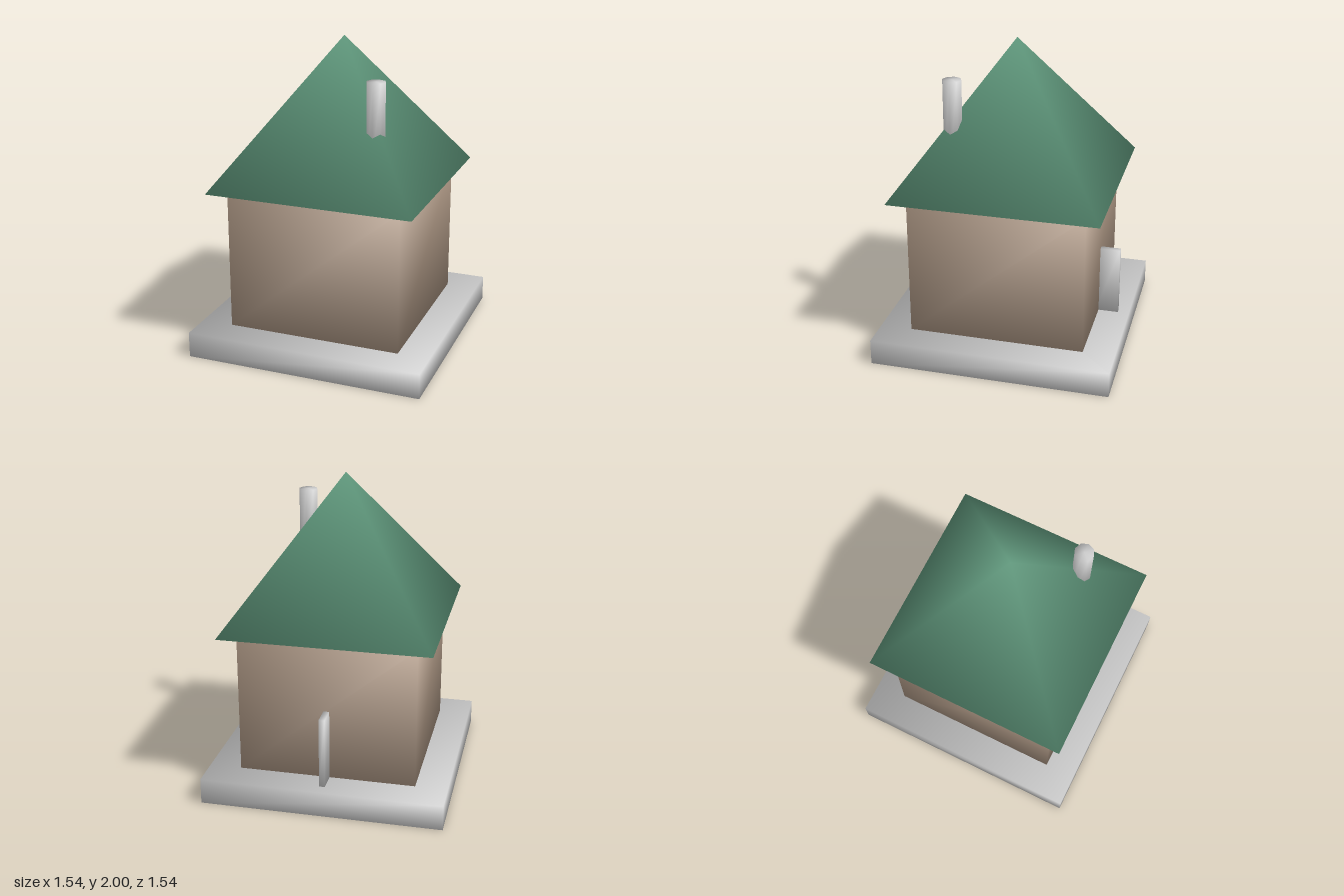
import * as THREE from 'three';
import { mergeVertices } from 'three/addons/utils/BufferGeometryUtils.js';

// Weld all corners and give each one a normal weighted by the face angles around it
function soften(source) {
  source.deleteAttribute('normal');
  source.deleteAttribute('uv');
  const geo = mergeVertices(source, 1e-4);
  const pos = geo.attributes.position;
  const index = geo.index;
  const normals = Array.from({ length: pos.count }, () => new THREE.Vector3());
  for (let i = 0; i < index.count; i += 3) {
    const ids = [0, 1, 2].map((k) => index.getX(i + k));
    const p = ids.map((id) => new THREE.Vector3().fromBufferAttribute(pos, id));
    const face = new THREE.Triangle(...p).getNormal(new THREE.Vector3());
    ids.forEach((id, k) => {
      const a = p[(k + 1) % 3].clone().sub(p[k]);
      const b = p[(k + 2) % 3].clone().sub(p[k]);
      normals[id].addScaledVector(face, a.angleTo(b));
    });
  }
  const flat = normals.flatMap((n) => n.normalize().toArray());
  geo.setAttribute('normal', new THREE.Float32BufferAttribute(flat, 3));
  return geo;
}

export function createModel() {
  const group = new THREE.Group();
  const grey = new THREE.MeshStandardMaterial({ color: 0xcccccc });
  const tan = new THREE.MeshStandardMaterial({ color: 0xae9885 });
  const green = new THREE.MeshStandardMaterial({ color: 0x619a7e });

  // Adds a part that stands on height y
  function add(name, geometry, material, x, y, z, height) {
    const mesh = new THREE.Mesh(soften(geometry), material);
    mesh.name = name;
    mesh.position.set(x, y + height / 2, z);
    group.add(mesh);
  }
  const box = (name, w, h, d, material, x, y, z) =>
    add(name, new THREE.BoxGeometry(w, h, d), material, x, y, z, h);

  // Square slab and house body
  box('base', 1.54, 0.165, 1.54, grey, 0, 0, 0);
  box('walls', 1.13, 0.915, 1.13, tan, 0, 0.165, 0);

  // Closed pyramid roof with overhanging eaves
  const roof = new THREE.ConeGeometry(0.667 * Math.SQRT2, 0.92, 4).rotateY(Math.PI / 4);
  add('roof', roof, green, 0, 1.08, 0, 0.92);

  // Octagonal chimney on the front left corner of the roof
  add('chimney', new THREE.CylinderGeometry(0.061, 0.061, 0.5, 8), grey, 0.326, 1.3, 0.326, 0.5);

  // Thin door leaf standing out from the back wall
  box('door', 0.037, 0.46, 0.15, grey, 0, 0.16, -0.62);

  return group;
}
